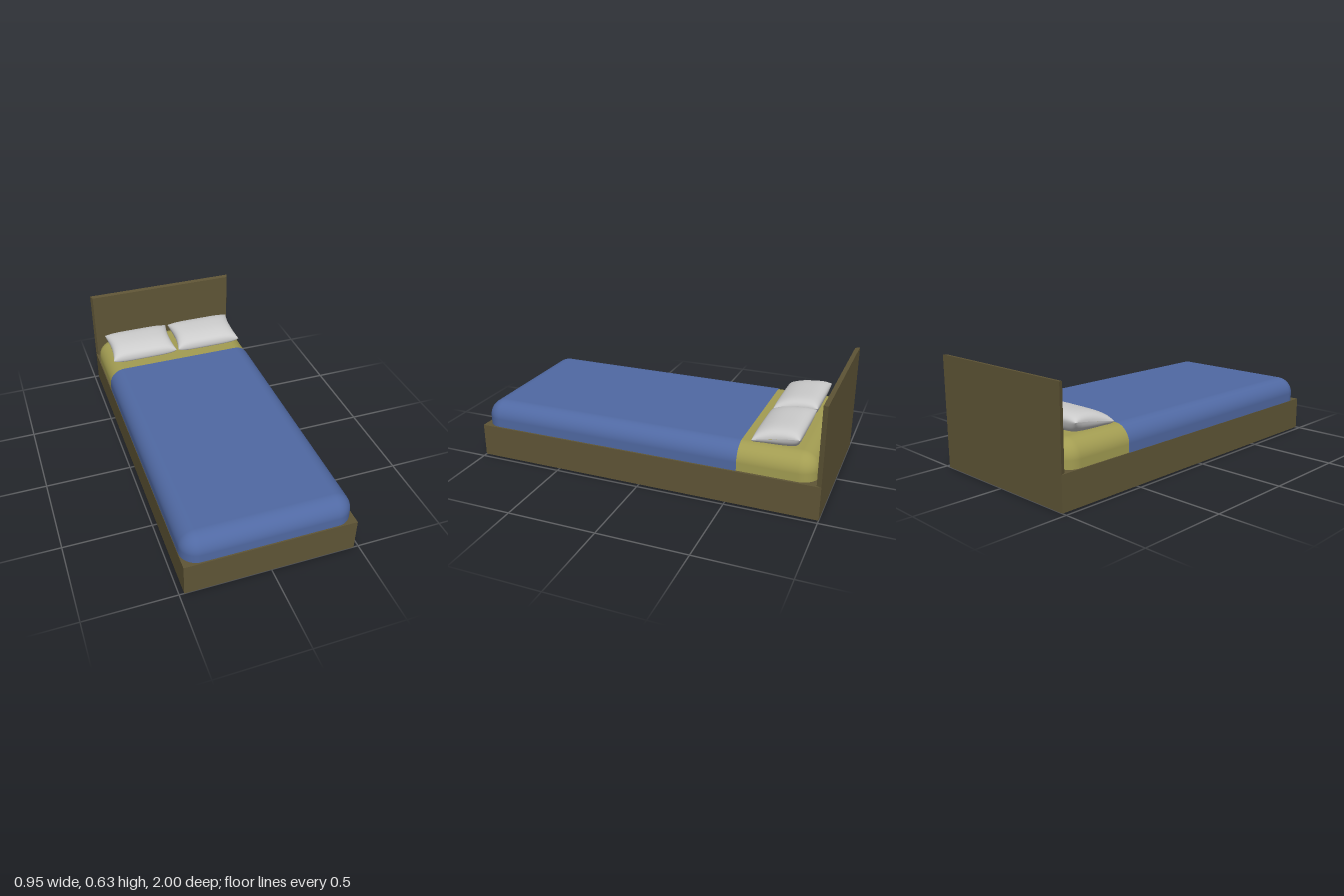
import * as THREE from 'three';
import { RoundedBoxGeometry } from 'three/addons/geometries/RoundedBoxGeometry.js';

const mat = (name, color) => {
  const m = new THREE.MeshStandardMaterial({ color });
  m.name = name;
  return m;
};

// Pillow: a closed side profile, lofted along x and pinched to a seam at both ends
function pillowGeometry(halfWidth) {
  const profile = [
    [-0.617, 0.338], [-0.621, 0.385], [-0.668, 0.413], [-0.743, 0.429], [-0.834, 0.428],
    [-0.863, 0.406], [-0.861, 0.374], [-0.845, 0.342], [-0.81, 0.329], [-0.66, 0.329],
  ].map(([z, y]) => new THREE.Vector3(0, y, z));
  const ring = new THREE.CatmullRomCurve3(profile, true).getPoints(40).slice(0, 40);
  const slices = 28, n = ring.length, pos = [], index = [];
  for (let i = 0; i <= slices; i++) {
    const u = -Math.cos((i / slices) * Math.PI);
    const puff = Math.sqrt(Math.max(0, 1 - Math.abs(u) ** 5));
    for (const p of ring) {
      const w = (p.z + 0.741) / 0.122; // -1 at the back, 1 at the front
      const seamY = 0.38 - 0.02 * w;
      const x = halfWidth * u * (1 - 0.07 * u ** 4 * (1 - w * w));
      pos.push(x, seamY + (p.y - seamY) * puff, p.z);
    }
  }
  for (let i = 0; i < slices; i++) {
    for (let j = 0; j < n; j++) {
      const a = i * n + j, b = i * n + ((j + 1) % n);
      index.push(a, a + n, b, b, a + n, b + n);
    }
  }
  const g = new THREE.BufferGeometry();
  g.setAttribute('position', new THREE.Float32BufferAttribute(pos, 3));
  g.setIndex(index);
  g.computeVertexNormals();
  return g;
}

export function createModel() {
  const bed = new THREE.Group();
  bed.name = 'bed';
  const wood = mat('brown wood', 0x5f5536);
  const sheet = mat('olive sheet', 0xa39d52);
  const cover = mat('blue cover', 0x5069a3);
  const white = mat('pillow white', 0xcccccc);

  const add = (name, geometry, material, x, y, z) => {
    const m = new THREE.Mesh(geometry, material);
    m.name = name;
    m.position.set(x, y, z);
    bed.add(m);
    return m;
  };

  // Base and headboard, whose front face is a little narrower than its back
  add('base', new THREE.BoxGeometry(0.946, 0.19, 2), wood, 0, 0.095, 0);
  const board = new THREE.BoxGeometry(0.946, 0.63, 0.026);
  const bp = board.attributes.position;
  for (let i = 0; i < bp.count; i++) {
    if (bp.getZ(i) > 0) {
      bp.setX(i, bp.getX(i) * 0.978);
      if (bp.getY(i) > 0) bp.setY(i, bp.getY(i) - 0.004);
    }
  }
  board.computeVertexNormals();
  add('headboard', board, wood, 0, 0.315, -0.987);

  // Mattress with rounded edges
  add('mattress', new RoundedBoxGeometry(0.926, 0.28, 1.955, 7, 0.095), sheet, -0.004, 0.19, 0.0085);

  // Blanket: a slightly larger rounded box, cut flat at its upper edge
  const radius = 0.095, edge = -0.55, front = 0.992;
  const depth = front - edge + radius;
  const midZ = front - depth / 2;
  const blanket = new RoundedBoxGeometry(0.934, 0.284, depth, 7, radius);
  const p = blanket.attributes.position;
  for (let i = 0; i < p.count; i++) p.setZ(i, Math.max(p.getZ(i), edge - midZ));
  add('blanket', blanket, cover, -0.004, 0.191, midZ);

  // Pillows
  const pillow = pillowGeometry(0.207);
  add('leftPillow', pillow, white, 0.21, 0, 0);
  add('rightPillow', pillow, white, -0.218, 0, 0);

  return bed;
}
